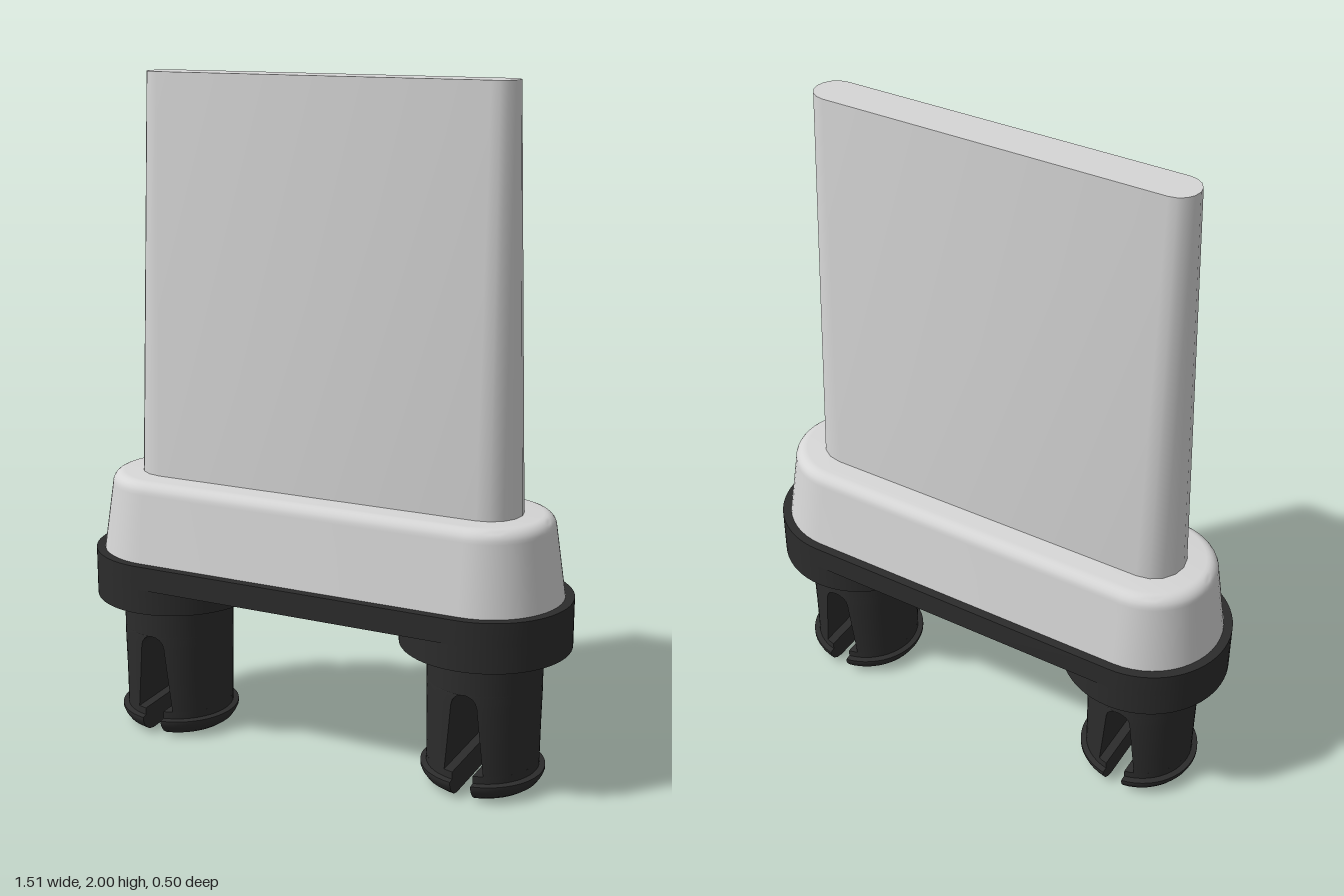
import * as THREE from 'three';
import { toCreasedNormals } from 'three/addons/utils/BufferGeometryUtils.js';

const END_X = 0.507; // centre of each rounded end

// Skin a stack of convex loops (bottom to top, counter-clockwise from above) and cap both ends
function loft(loops, crease = 0.6) {
  const n = loops[0].length;
  const pos = loops.flat().flatMap((p) => [p.x, p.y, p.z]);
  const index = [];
  for (let i = 0; i < loops.length - 1; i++) {
    for (let j = 0; j < n; j++) {
      const a = i * n + j, b = i * n + (j + 1) % n;
      index.push(a, b, b + n, a, b + n, a + n);
    }
  }
  const top = (loops.length - 1) * n;
  for (let j = 1; j < n - 1; j++) {
    index.push(0, j + 1, j);
    index.push(top, top + j, top + j + 1);
  }
  const geometry = new THREE.BufferGeometry();
  geometry.setAttribute('position', new THREE.Float32BufferAttribute(pos, 3));
  geometry.setIndex(index);
  return toCreasedNormals(geometry, crease);
}

// Long outline with half-round ends
function stadium(y, r, segments) {
  const loop = [];
  for (const side of [1, -1]) {
    for (let k = 0; k <= segments; k++) {
      const a = -Math.PI / 2 + (k / segments) * Math.PI;
      loop.push(new THREE.Vector3(side * (END_X + r * Math.cos(a)), y, -side * r * Math.sin(a)));
    }
  }
  return loop;
}

// Part of a circle lying beyond x = s
function segment(y, r, s, count = 24) {
  const half = Math.acos(s / r);
  return Array.from({ length: count + 1 }, (_, k) => {
    const a = half * (2 * k / count - 1);
    return new THREE.Vector3(r * Math.cos(a), y, -r * Math.sin(a));
  });
}

export function createModel() {
  const lightGrey = new THREE.MeshStandardMaterial({ color: 0xd6d6d6 });
  lightGrey.name = 'light grey';
  const black = new THREE.MeshStandardMaterial({ color: 0x2c2c2c });
  black.name = 'black';

  const model = new THREE.Group();
  model.name = 'bladeOnClips';
  const add = (name, geometry, material, parent = model) => {
    const mesh = new THREE.Mesh(geometry, material);
    mesh.name = name;
    parent.add(mesh);
    return mesh;
  };

  // Tapered blade
  add('blade', loft([stadium(0.8, 0.1, 8), stadium(2, 0.06, 8)]), lightGrey);

  // Drafted collar with a rounded upper edge
  const collar = [[0.57, 0.222], [0.775, 0.192]];
  for (let k = 1; k <= 6; k++) {
    const a = (k / 6) * Math.PI / 2;
    collar.push([0.775 + 0.037 * Math.sin(a), 0.155 + 0.037 * Math.cos(a)]);
  }
  add('collar', loft(collar.map(([y, r]) => stadium(y, r, 24))), lightGrey);

  // Base plate
  add('basePlate', loft([stadium(0.5, 0.248, 32), stadium(0.572, 0.248, 32)]), black);

  // Prong sections: height, radius, half-width of the slot
  const prong = [
    [0, 0.125, 0.031], [0.006, 0.148, 0.031], [0.018, 0.165, 0.031], [0.034, 0.176, 0.031],
    [0.046, 0.181, 0.031], [0.055, 0.181, 0.031], [0.058, 0.164, 0.031], [0.08, 0.164, 0.031],
    [0.08, 0.164, 0.059], [0.18, 0.165, 0.049], [0.285, 0.167, 0.039], [0.3, 0.167, 0.035],
    [0.312, 0.167, 0.026], [0.319, 0.167, 0.014], [0.322, 0.167, 0],
  ];
  const prongGeometry = loft(prong.map(([y, r, s]) => segment(y, r, s)));
  const stemGeometry = new THREE.CylinderGeometry(0.168, 0.167, 0.118, 48);
  const bossGeometry = new THREE.CylinderGeometry(0.248, 0.248, 0.135, 64);

  // Two slotted clips, each under a round boss
  for (const side of [1, -1]) {
    const clip = new THREE.Group();
    clip.name = side > 0 ? 'leftClip' : 'rightClip';
    clip.position.x = side * END_X;
    add('boss', bossGeometry, black, clip).position.y = 0.4925;
    add('stem', stemGeometry, black, clip).position.y = 0.381;
    add('leftProng', prongGeometry, black, clip);
    add('rightProng', prongGeometry, black, clip).rotation.y = Math.PI;
    model.add(clip);
  }
  return model;
}
